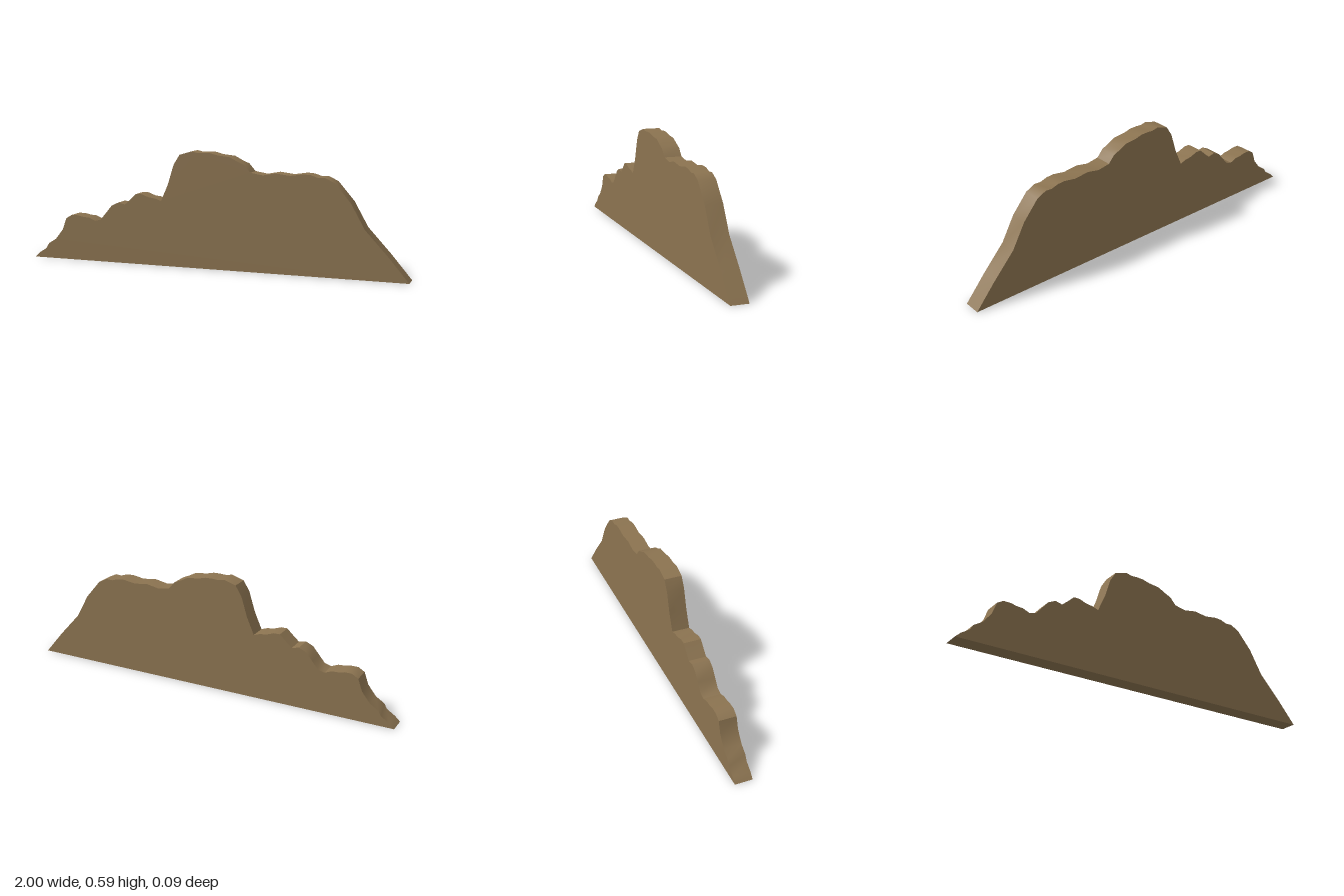
import * as THREE from 'three';
import { toCreasedNormals } from 'three/addons/utils/BufferGeometryUtils.js';

const DEPTH = 0.088;

// Skyline of the ridge from its -x foot to its +x foot, as [x, y]
const SKYLINE = [
  [-1, 0], [-0.975, 0.024], [-0.933, 0.051], [-0.917, 0.078], [-0.874, 0.105],
  [-0.832, 0.158], [-0.81, 0.219], [-0.778, 0.238], [-0.74, 0.238], [-0.709, 0.231],
  [-0.676, 0.229], [-0.64, 0.214], [-0.607, 0.223], [-0.575, 0.261], [-0.543, 0.299],
  [-0.505, 0.317], [-0.468, 0.308], [-0.436, 0.336], [-0.404, 0.366], [-0.372, 0.366],
  [-0.334, 0.352], [-0.297, 0.347], [-0.265, 0.336], [-0.227, 0.422], [-0.195, 0.524],
  [-0.163, 0.575], [-0.099, 0.594], [-0.067, 0.587], [-0.035, 0.589], [0.003, 0.588],
  [0.04, 0.578], [0.104, 0.571], [0.142, 0.551], [0.179, 0.535], [0.211, 0.498],
  [0.275, 0.487], [0.34, 0.499], [0.414, 0.49], [0.479, 0.5], [0.516, 0.497],
  [0.553, 0.485], [0.586, 0.487], [0.634, 0.463], [0.714, 0.369], [0.783, 0.246],
  [0.896, 0.123], [1, 0],
];

export function createModel() {
  const group = new THREE.Group();
  group.name = 'rockRidge';

  // Upright slab cut along the skyline, with softened top edges
  const outline = new THREE.Shape(SKYLINE.map(([x, y]) => new THREE.Vector2(x, y)));
  const slab = new THREE.ExtrudeGeometry(outline, { depth: DEPTH, bevelEnabled: false });
  slab.translate(0, 0, -DEPTH / 2);

  const ridge = new THREE.Mesh(
    toCreasedNormals(slab, THREE.MathUtils.degToRad(35)),
    new THREE.MeshStandardMaterial({ color: 0x8b7350 }),
  );
  ridge.name = 'ridgeSlab';
  group.add(ridge);
  return group;
}
